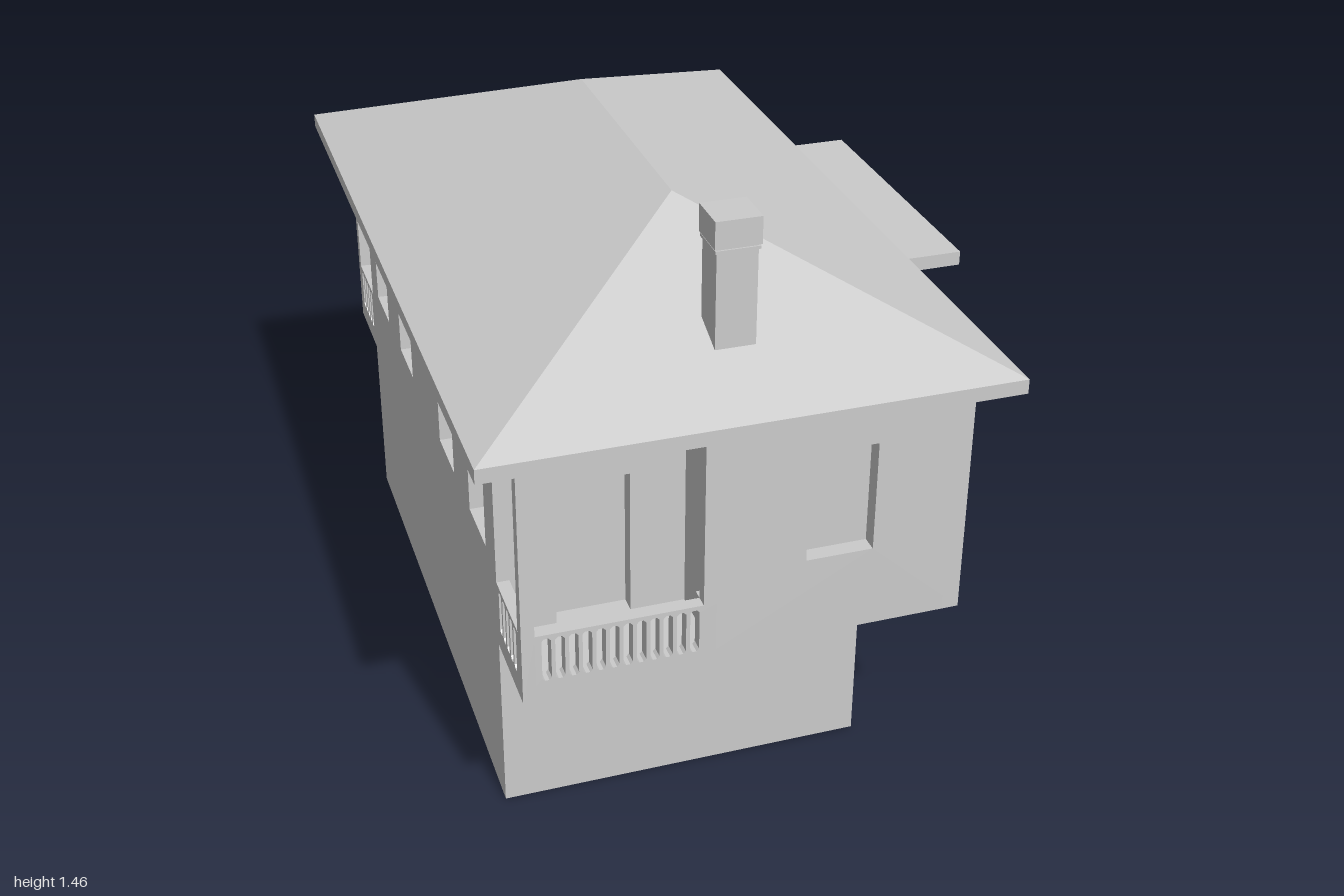
import * as THREE from 'three';

const FRONT = 0, BACK = Math.PI, RIGHT = Math.PI / 2, LEFT = -Math.PI / 2;
const REVEAL = 0.04, BASE = 0.45, EAVE = 1.045, RAIL = 0.62, POST = 0.03;

export function createModel() {
  const house = new THREE.Group();
  house.name = 'house';
  const material = new THREE.MeshStandardMaterial({ color: 0xcccccc, flatShading: true });

  const add = (name, geometry) => {
    const mesh = new THREE.Mesh(geometry, material);
    mesh.name = name;
    house.add(mesh);
    return mesh;
  };

  // Box given by its limits on each axis
  const box = (name, x0, x1, y0, y1, z0, z1) => {
    const mesh = add(name, new THREE.BoxGeometry(Math.abs(x1 - x0), y1 - y0, Math.abs(z1 - z0)));
    mesh.position.set((x0 + x1) / 2, (y0 + y1) / 2, (z0 + z1) / 2);
  };

  // Upright panel with openings [u0, u1, v0, v1, chamfer], outer face on the given plane.
  // u runs along x for front and back, along z for right and left.
  const panel = (name, facing, plane, a, b, v0, v1, openings, depth = REVEAL) => {
    const flip = facing === BACK || facing === RIGHT ? -1 : 1;
    const rect = (p, q, r, t, c = 0) => {
      const l = Math.min(p * flip, q * flip), h = Math.max(p * flip, q * flip);
      const pts = c
        ? [[l + c, r], [h - c, r], [h, r + c], [h, t - c], [h - c, t], [l + c, t], [l, t - c], [l, r + c]]
        : [[l, r], [h, r], [h, t], [l, t]];
      return pts.map(([x, y]) => new THREE.Vector2(x, y));
    };
    const shape = new THREE.Shape(rect(a, b, v0, v1));
    openings.forEach(o => shape.holes.push(new THREE.Path(rect(...o))));
    const geometry = new THREE.ExtrudeGeometry(shape, { depth, bevelEnabled: false });
    geometry.translate(0, 0, plane - depth);
    geometry.rotateY(facing);
    add(name, geometry);
  };

  // Balcony parapet with a row of upright slots
  const parapet = (name, facing, plane, a, b, s0, s1, count) => {
    const pitch = (s1 - s0) / count;
    const slots = Array.from({ length: count }, (_, i) => {
      const c = s0 + (i + 0.5) * pitch, w = Math.abs(pitch) * 0.35;
      return [c - w, c + w, 0.5, 0.61, 0.006];
    });
    panel(name, facing, plane, a, b, BASE, RAIL, slots, POST);
  };

  // Curved bracket: profile runs outwards from the wall
  const bracket = (name, profile, x, z, turn) => {
    const shape = new THREE.Shape(profile.map(([d, y]) => new THREE.Vector2(d, y)));
    const geometry = new THREE.ExtrudeGeometry(shape, { depth: 0.037, bevelEnabled: false });
    geometry.translate(0, 0, -0.0185);
    const mesh = add(name, geometry);
    mesh.rotation.y = turn;
    mesh.position.set(x, 0, z);
  };
  const smallProfile = [[0, 0.325], [0.012, 0.37], [0.035, 0.41], [0.078, 0.45], [0, 0.45]];
  const largeProfile = [[0, 0.215], [0.04, 0.325], [0.065, 0.36], [0.115, 0.4], [0.25, 0.45],
    [0.15, 0.45], [0.085, 0.42], [0.035, 0.38], [0, 0.325]];

  // Ground floor
  box('groundFloor', -0.59, 0.25, 0, BASE, -0.745, 0.745);
  panel('entranceWall', RIGHT, 0.29, -0.745, 0.745, 0, BASE, [
    [-0.09, 0.09, 0.005, 0.345],
    [0.445, 0.595, 0.125, 0.36],
    [-0.595, -0.445, 0.125, 0.36],
  ]);

  // Upper floor core, plain long side and side balcony wall
  box('upperCore', -0.55, 0.25, BASE, EAVE, -0.705, 0.705);
  panel('longSideWall', LEFT, 0.59, -0.745, 0.745, BASE, EAVE,
    [-0.57, -0.245, 0.245, 0.57].map(z => [z - 0.08, z + 0.08, 0.655, 0.93]));
  panel('sideBalconyWall', RIGHT, 0.29, -0.31, 0.31, BASE, EAVE, [
    [-0.09, 0.09, 0.48, 0.845],
    [0.13, 0.265, 0.68, 0.895],
    [-0.265, -0.13, 0.68, 0.895],
  ]);

  // Side balcony
  box('sideBalconyFloor', 0.28, 0.57, BASE, 0.48, -0.31, 0.31);
  parapet('sideBalconyParapet', RIGHT, 0.595, -0.31, 0.31, -0.262, 0.262, 16);

  // Parts repeated at the front and back ends
  for (const s of [1, -1]) {
    const end = s > 0 ? FRONT : BACK;

    // Overhanging wing
    box('wingCore', -0.15, 0.42, BASE, EAVE, s * 0.31, s * 0.88);
    panel('wingEndWall', end, 0.92, -0.15, 0.46, BASE, EAVE, [[0.075, 0.235, 0.655, 0.93]]);
    panel('wingSideWall', RIGHT, 0.46, s * 0.31, s * 0.92, BASE, EAVE, [
      [s * 0.385, s * 0.55, 0.655, 0.93],
      [s * 0.655, s * 0.83, 0.655, 0.93],
    ]);

    // Corner balcony
    panel('cornerBalconyWall', end, 0.745, -0.59, -0.15, BASE, EAVE, [[-0.455, -0.28, 0.48, 0.845]]);
    box('cornerBalconyFloor', -0.57, -0.15, BASE, 0.48, s * 0.74, s * 0.945);
    parapet('cornerBalconyParapet', end, 0.965, -0.59, -0.15, -0.55, -0.185, 12);
    parapet('cornerBalconySideParapet', LEFT, 0.59, s * 0.745, s * 0.965, s * 0.76, s * 0.925, 5);
    box('cornerBalconyReturn', -0.18, -0.15, BASE, RAIL, s * 0.91, s * 0.945);
    for (const x of [-0.59, -0.18]) {
      box('cornerBalconyPost', x, x + POST, RAIL, EAVE, s * 0.935, s * 0.965);
    }

    // Side balcony ends
    parapet('sideBalconyEndParapet', end, 0.31, 0.46, 0.595, 0.462, 0.56, 3);
    box('sideBalconyPost', 0.565, 0.595, RAIL, EAVE, s * 0.28, s * 0.31);

    // Brackets
    for (const x of [-0.515, -0.335, 0.03, 0.21]) {
      bracket('endBracket', smallProfile, x, s * 0.745, -s * Math.PI / 2);
    }
    for (const z of [0.365, 0.665]) bracket('sideBracket', smallProfile, 0.29, s * z, 0);
    for (const z of [0.17, 0.265]) bracket('balconyBracket', largeProfile, 0.29, s * z, 0);
  }

  // Roof: eaves, canopy over the side balcony and four hipped slopes
  box('eaves', -0.68, 0.54, EAVE, 1.08, -1, 1);
  box('balconyCanopy', 0.54, 0.675, EAVE, 1.08, -0.375, 0.375);
  const a = [-0.68, 1.08, 1], b = [0.54, 1.08, 1], c = [0.54, 1.08, -1], d = [-0.68, 1.08, -1];
  const r = [-0.065, 1.34, 0.375], t = [-0.065, 1.34, -0.375];
  const hip = new THREE.BufferGeometry();
  const corners = [a, b, r, b, c, t, b, t, r, c, d, t, d, a, r, d, r, t].flat();
  hip.setAttribute('position', new THREE.Float32BufferAttribute(corners, 3));
  hip.computeVertexNormals();
  add('hippedRoof', hip);

  // Chimney
  box('chimneyStack', -0.11, -0.017, 1.1, 1.4, 0.72, 0.81);
  box('chimneyBand', -0.114, -0.013, 1.385, 1.392, 0.716, 0.814);
  box('chimneyCap', -0.116, -0.011, 1.396, 1.46, 0.714, 0.816);

  return house;
}
